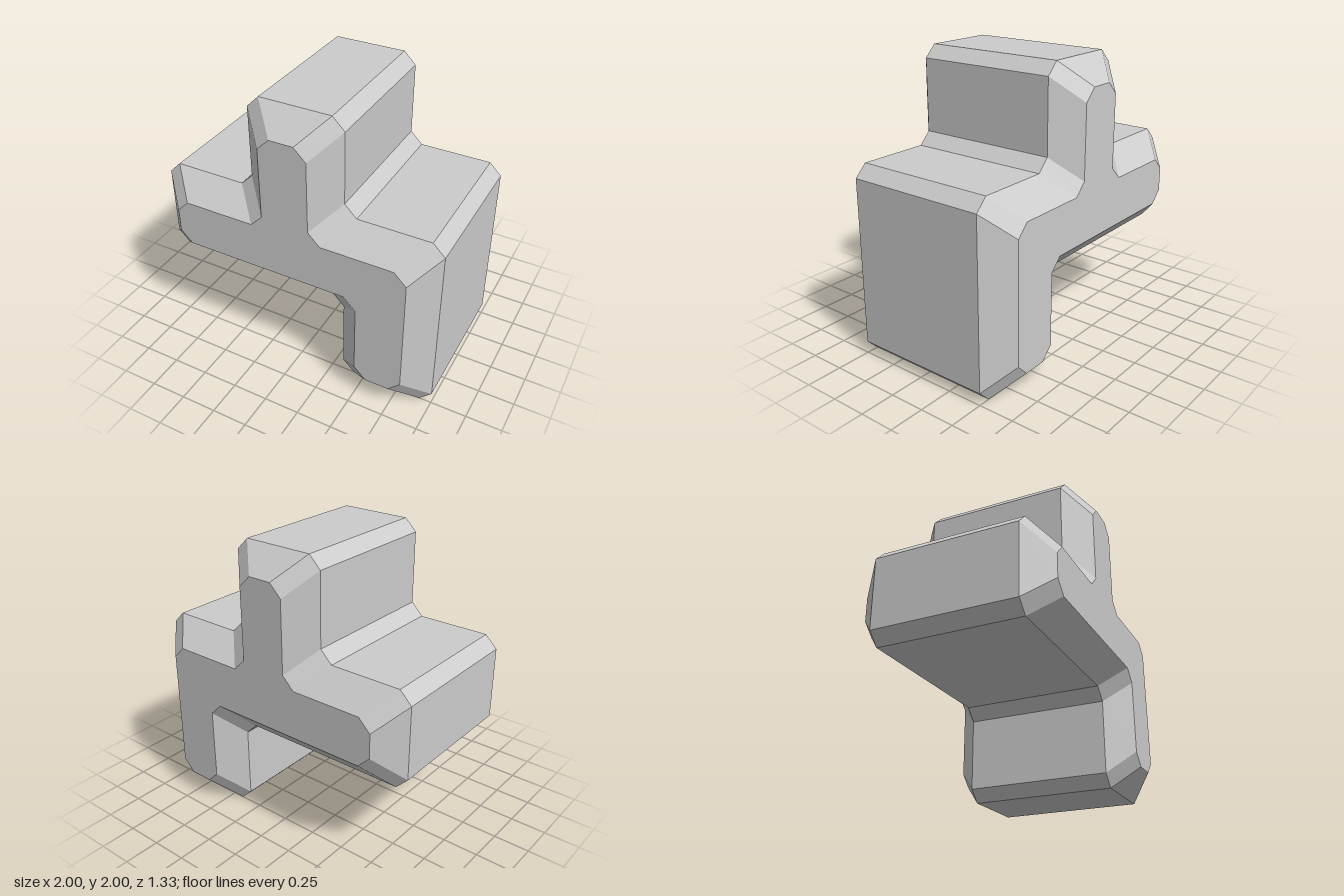
import * as THREE from 'three';

const T = 1 / 3; // half the width of one arm
const CHAMFER = T / 4;

// Sharp-cornered outline of the block, counter-clockwise seen from the front
const CORNERS = [
  [T, 0], [1, 0], [1, 4 * T], [T, 4 * T], [T, 2],
  [-T, 2], [-T, 4 * T], [-1, 4 * T], [-1, 2 * T], [T, 2 * T],
].map(([x, y]) => new THREE.Vector2(x, y));

// Outline moved inward by inset, every corner cut by the same chamfer
function outline(inset) {
  const n = CORNERS.length;
  return CORNERS.flatMap((p, i) => {
    const before = p.clone().sub(CORNERS[(i + n - 1) % n]).normalize();
    const after = CORNERS[(i + 1) % n].clone().sub(p).normalize();
    const c = new THREE.Vector2(
      p.x - inset * (before.y + after.y),
      p.y + inset * (before.x + after.x),
    );
    return [
      c.clone().addScaledVector(before, -CHAMFER),
      c.clone().addScaledVector(after, CHAMFER),
    ];
  });
}

function blockGeometry() {
  // Cross-sections from back to front
  const outer = outline(0);
  const inner = outline(T / 2);
  const sections = [[inner, -2 * T], [outer, -0.5], [outer, 0.5], [inner, 2 * T]];
  const n = outer.length;
  const positions = sections.flatMap(([pts, z]) => pts.flatMap((p) => [p.x, p.y, z]));
  const index = [];

  // Bevels and side walls
  for (let s = 0; s < sections.length - 1; s++) {
    for (let i = 0; i < n; i++) {
      const j = (i + 1) % n;
      const a = s * n + i, b = s * n + j;
      index.push(a, b, b + n, a, b + n, a + n);
    }
  }

  // Back and front faces
  const front = (sections.length - 1) * n;
  for (const [a, b, c] of THREE.ShapeUtils.triangulateShape(inner, [])) {
    index.push(front + a, front + b, front + c, a, c, b);
  }

  const indexed = new THREE.BufferGeometry();
  indexed.setAttribute('position', new THREE.Float32BufferAttribute(positions, 3));
  indexed.setIndex(index);
  const geometry = indexed.toNonIndexed();
  geometry.computeVertexNormals();
  return geometry;
}

export function createModel() {
  const group = new THREE.Group();
  group.name = 'beveledBlock';
  const material = new THREE.MeshStandardMaterial({ color: 0xcccccc, flatShading: true });
  const block = new THREE.Mesh(blockGeometry(), material);
  block.name = 'block';
  group.add(block);
  return group;
}
